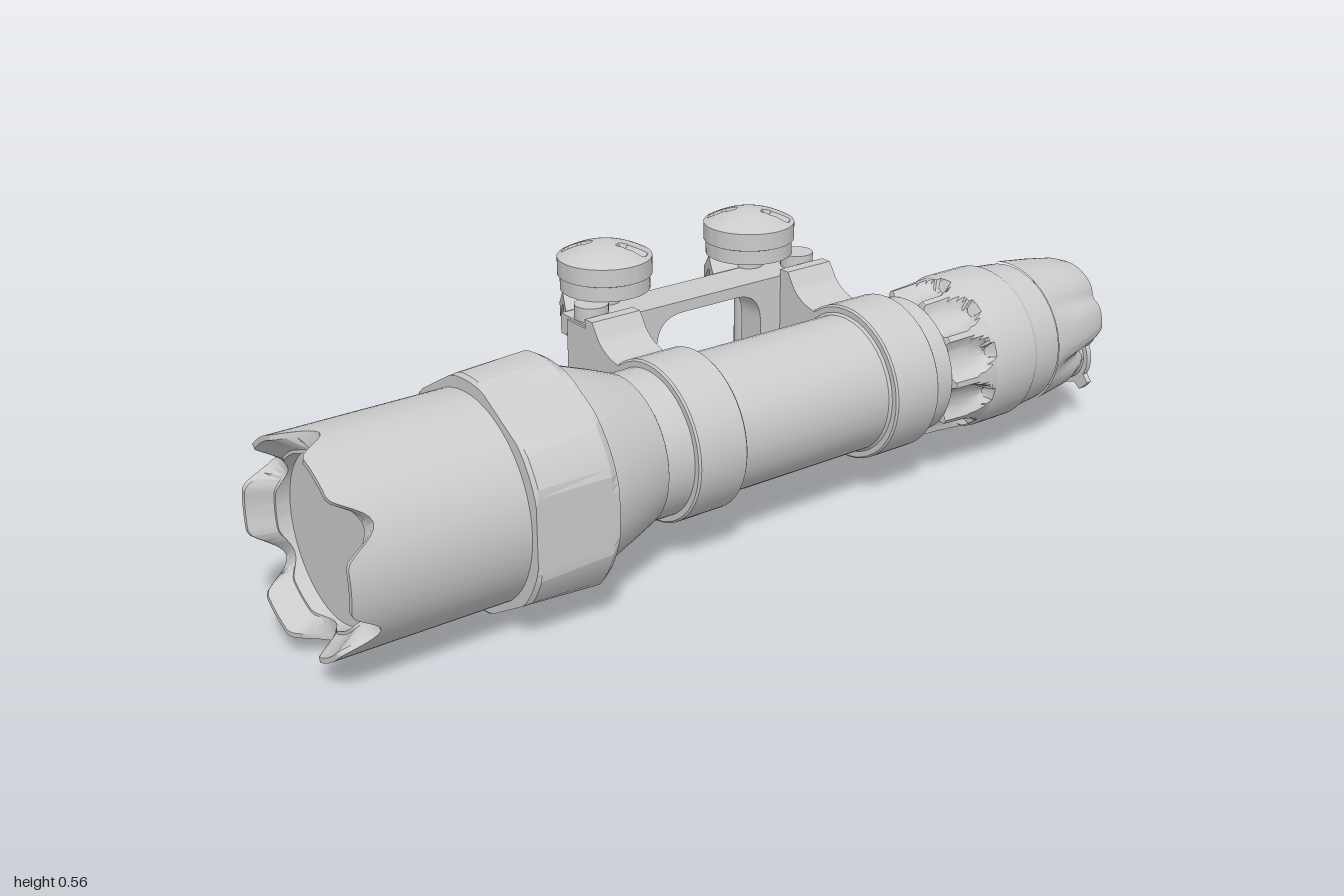
import * as THREE from 'three';
import { toCreasedNormals } from 'three/addons/utils/BufferGeometryUtils.js';

const AX = 0.092, AY = 0.244; // axis of the light body
const mat = new THREE.MeshStandardMaterial({ color: 0xcccccc });
const thin = new THREE.MeshStandardMaterial({ color: 0xcccccc, side: THREE.DoubleSide });

function add(parent, name, geo, x = 0, y = 0, z = 0, material = mat) {
  const m = new THREE.Mesh(geo, material);
  m.name = name;
  m.position.set(x, y, z);
  parent.add(m);
  return m;
}

// Turned part along z from [radius, z] points; rule(angle, r, z) may reshape it
function turned(points, seg = 48, rule = null, crease = 0.5) {
  const geo = new THREE.LatheGeometry(points.map(p => new THREE.Vector2(p[0], p[1])), seg);
  geo.rotateX(Math.PI / 2);
  if (rule) {
    const p = geo.attributes.position;
    for (let i = 0; i < p.count; i++) {
      const a = Math.atan2(p.getY(i), p.getX(i));
      const [r, z] = rule(a, Math.hypot(p.getX(i), p.getY(i)), p.getZ(i));
      p.setXYZ(i, r * Math.cos(a), r * Math.sin(a), z);
    }
  }
  return toCreasedNormals(geo, crease);
}

// Outline in x,y extruded from z0 to z1
function slab(points, z0, z1) {
  const shape = new THREE.Shape(points.map(p => new THREE.Vector2(p[0], p[1])));
  return new THREE.ExtrudeGeometry(shape, { depth: z1 - z0, bevelEnabled: false }).translate(0, 0, z0);
}

// Signed distance from the nearest of n evenly spaced angles
function fromNearest(a, n, offset = 0) {
  const step = 2 * Math.PI / n, t = (a - offset) / step;
  return (t - Math.round(t)) * step;
}

function buildLight() {
  const g = new THREE.Group();
  g.name = 'light';
  g.position.set(AX, AY, 0);

  // Head with six notches in the front rim, and the recessed lens
  add(g, 'head', turned(
    [[0.205, 0.5], [0.21, 0.63], [0.21, 0.9], [0.21, 1], [0.2, 1], [0.171, 0.955], [0.165, 0.955], [0.165, 0.925]],
    120, (a, r, z) => {
      const d = Math.abs(fromNearest(a, 6, Math.PI / 6));
      const notch = d < 0.3 ? Math.cos(d / 0.3 * Math.PI / 2) ** 1.5 : 0;
      return [r, z - notch * (z > 0.99 ? 0.065 : z > 0.94 ? 0.02 : 0)];
    }));
  add(g, 'lens', new THREE.CircleGeometry(0.166, 48), 0, 0, 0.926);

  // Collar with six flats
  add(g, 'collar', turned(
    [[0.2, 0.455], [0.236, 0.458], [0.246, 0.475], [0.241, 0.628], [0.234, 0.635], [0.205, 0.636]],
    96, (a, r, z) => {
      const apothem = z > 0.6 ? 0.225 : 0.2325;
      return [Math.min(r, apothem / Math.cos(fromNearest(a, 6))), z];
    }, 0.15));

  // Neck and battery tube
  add(g, 'neck', turned([[0.15, 0.285], [0.157, 0.29], [0.176, 0.34], [0.197, 0.4], [0.209, 0.44], [0.213, 0.46]]));
  add(g, 'tube', turned([[0.14, -0.47], [0.15, -0.465], [0.153, -0.41], [0.153, -0.29], [0.148, -0.285],
    [0.148, 0.1], [0.153, 0.105], [0.153, 0.295]]));

  // Scalloped grip ring
  const grip = [[0.14, -0.462], [0.16, -0.466]];
  const rows = [[0.1, -0.585]];
  for (let i = 0; i <= 10; i++) rows.push([0.168 - 0.006 * i / 10, -0.583 + 0.0115 * i]);
  add(g, 'gripRing', turned([...rows, ...grip.reverse()], 160, (a, r, z) => {
    const d = Math.abs(fromNearest(a, 10, Math.PI / 2)) / 0.26;
    const t = Math.min(1, Math.max(0, (z + 0.578) / 0.08));
    const width = Math.sqrt(1 - (1 - t) ** 2);
    const cut = r > 0.15 && d < width ? 0.026 * Math.sqrt(1 - (d / width) ** 2) : 0;
    return [r - cut, z];
  }));

  // Tail cap bands
  add(g, 'tailBand', turned([[0.15, -0.705], [0.168, -0.704], [0.173, -0.695], [0.173, -0.6], [0.167, -0.583], [0.1, -0.583]]));
  add(g, 'tailCollar', turned([[0.1, -0.782], [0.16, -0.78], [0.167, -0.7], [0.15, -0.698]]));

  // Hollow tapered shroud: long upper hood, shorter lower lip, grooved flanks
  const shroud = turned(
    [[0, -0.87], [0.095, -0.87], [0.098, -0.91], [0.105, -0.965], [0.133, -0.965], [0.142, -0.94], [0.152, -0.88], [0.162, -0.8], [0.166, -0.775]],
    96, (a, r, z) => {
      const s = Math.sin(a);
      const side = Math.max(Math.abs(Math.cos(a)) - 0.25, 0) / 0.75;
      const lower = THREE.MathUtils.smoothstep(-s, 0.15, 0.5);
      const below = Math.exp(-(((s + 0.28) / 0.16) ** 2));
      const above = Math.exp(-(((s - 0.62) / 0.12) ** 2));
      const back = THREE.MathUtils.clamp((-z - 0.78) / 0.06, 0, 1);
      const rim = THREE.MathUtils.clamp((-z - 0.87) / 0.095, 0, 1);
      if (r > 0.12) r -= back * (0.02 * below + 0.012 * above) + 0.012 * side * rim;
      return [r, z + rim * (0.035 * lower + 0.04 * below)];
    }, 0.7);
  add(g, 'tailShroud', shroud);
  const dome = new THREE.SphereGeometry(0.078, 32, 12, 0, Math.PI * 2, 0, Math.PI / 2).rotateX(-Math.PI / 2);
  add(g, 'tailButton', dome, 0, 0, -0.868);

  // Hanging cap with three tabs and a curled pull loop
  const cap = new THREE.Group();
  cap.name = 'hangingCap';
  cap.position.set(0, -0.097, -0.985);
  g.add(cap);
  add(cap, 'capStem', new THREE.CylinderGeometry(0.062, 0.058, 0.075, 32).rotateX(Math.PI / 2), 0, 0, 0.03);
  const outline = [];
  for (let i = 0; i < 72; i++) {
    const a = i / 72 * Math.PI * 2;
    const r = Math.abs(fromNearest(a, 4, Math.PI / 4)) < 0.24 ? 0.091 : 0.07;
    outline.push([r * Math.cos(a), r * Math.sin(a)]);
  }
  add(cap, 'capPlate', slab(outline, -0.01, 0.004));
  add(cap, 'pullTab', new THREE.BoxGeometry(0.06, 0.04, 0.01), -0.09, 0, -0.003);
  add(cap, 'pullLoop', new THREE.CylinderGeometry(0.024, 0.024, 0.045, 24, 1, true), -0.12, 0, 0.012, thin);
  return g;
}

// Thumb knob: stepped rim and a domed top with two slots cut along a diagonal
function knobGeometry() {
  const pts = [[0, 0.455], [0.095, 0.455], [0.095, 0.486], [0.1, 0.488], [0.1, 0.526]];
  for (let i = 1; i <= 14; i++) pts.push([0.098 * (1 - i / 14), 0.527 + 0.028 * (1 - (1 - i / 14) ** 2)]);
  const geo = new THREE.LatheGeometry(pts.map(p => new THREE.Vector2(p[0], p[1])), 72);
  const p = geo.attributes.position;
  for (let i = 0; i < p.count; i++) {
    const x = p.getX(i), z = p.getZ(i);
    const along = Math.abs(0.77 * x - 0.63 * z), across = Math.abs(0.63 * x + 0.77 * z);
    if (p.getY(i) > 0.527 && along > 0.03 && along < 0.085 && across < 0.009) p.setY(i, p.getY(i) - 0.012);
  }
  return toCreasedNormals(geo, 0.5);
}

function buildMount() {
  const g = new THREE.Group();
  g.name = 'railMount';
  const Z0 = -0.41, Z1 = 0.225;

  // Clamp rings and the flared blocks that join them to the side plate
  for (const z of [-0.35, 0.165]) {
    const ring = turned([[0.145, -0.06], [0.165, -0.06], [0.169, -0.056], [0.169, 0.056], [0.165, 0.06], [0.145, 0.06]]);
    add(g, 'clampRing', ring, AX, AY, z);
    const flank = new THREE.QuadraticBezierCurve(
      new THREE.Vector2(-0.08, 0.165), new THREE.Vector2(-0.05, 0.13), new THREE.Vector2(0.01, 0.13)).getPoints(8);
    const half = [[-0.126, 0.196], [-0.1, 0.196], ...flank.map(v => [v.x, v.y])];
    const block = [...half.map(([x, y]) => [x, AY + y]), ...half.map(([x, y]) => [x, AY - y]).reverse()].reverse();
    // keep the block outside the tube bore
    add(g, 'clampBlock', slab(block, -0.06, 0.06), 0, 0, z);
  }

  // Side plate with a rounded window, drawn in z,y and turned to face sideways
  const plate = new THREE.Shape();
  plate.moveTo(-Z1, 0.06).lineTo(-Z0, 0.06).lineTo(-Z0, 0.42).lineTo(-Z1, 0.42).closePath();
  const hole = new THREE.Path();
  const l = -0.045, r = 0.235, b = 0.09, t = 0.4, c = 0.07;
  hole.moveTo(l + c, b).lineTo(r - c, b).quadraticCurveTo(r, b, r, b + c).lineTo(r, t - c).quadraticCurveTo(r, t, r - c, t)
    .lineTo(l + c, t).quadraticCurveTo(l, t, l, t - c).lineTo(l, b + c).quadraticCurveTo(l, b, l + c, b);
  plate.holes.push(hole);
  const plateGeo = new THREE.ExtrudeGeometry(plate, { depth: 0.067, bevelEnabled: false, curveSegments: 10 });
  add(g, 'sidePlate', toCreasedNormals(plateGeo.rotateY(Math.PI / 2), 0.5), -0.192);

  // Upper and lower jaws: full-length bars with a hook at each post
  add(g, 'upperBar', slab([[-0.222, 0.381], [-0.2, 0.381], [-0.2, 0.405], [-0.125, 0.405], [-0.125, 0.425], [-0.222, 0.425]], Z0 + 0.01, Z1 - 0.005));
  add(g, 'lowerBar', slab([[-0.222, 0.038], [-0.125, 0.038], [-0.125, 0.085], [-0.198, 0.085], [-0.198, 0.113], [-0.222, 0.113]], Z0 + 0.01, Z1 - 0.005));
  const upperHook = [[-0.308, 0.38], [-0.262, 0.425], [-0.221, 0.381], [-0.221, 0.426], [-0.262, 0.454], [-0.308, 0.413]];
  const lowerHook = [[-0.308, 0.08], [-0.26, 0.037], [-0.221, 0.038], [-0.221, 0.113], [-0.262, 0.075], [-0.308, 0.113]];
  const knob = knobGeometry();
  for (const z of [-0.283, 0.103]) {
    for (const [name, pts] of [['upperHook', upperHook], ['lowerHook', lowerHook]]) {
      const hook = slab(pts, -0.105, 0.105);
      const p = hook.attributes.position;
      // narrow the hook towards its lip
      for (let i = 0; i < p.count; i++) {
        p.setZ(i, p.getZ(i) * (1 - 0.4 * THREE.MathUtils.clamp((-0.222 - p.getX(i)) / 0.086, 0, 1)));
      }
      hook.computeVertexNormals();
      add(g, name, hook, 0, 0, z);
    }
    add(g, 'post', new THREE.CylinderGeometry(0.032, 0.032, 0.425, 28), -0.228, 0.248, z);
    add(g, 'knob', knob, -0.228, 0, z);
  }
  // Small stop screws at the ends of the upper bar
  for (const z of [-0.367, 0.183]) add(g, 'stopScrew', new THREE.CylinderGeometry(0.036, 0.036, 0.032, 24), -0.163, 0.439, z);
  return g;
}

export function createModel() {
  const model = new THREE.Group();
  model.name = 'railMountedLight';
  model.add(buildLight(), buildMount());
  return model;
}
